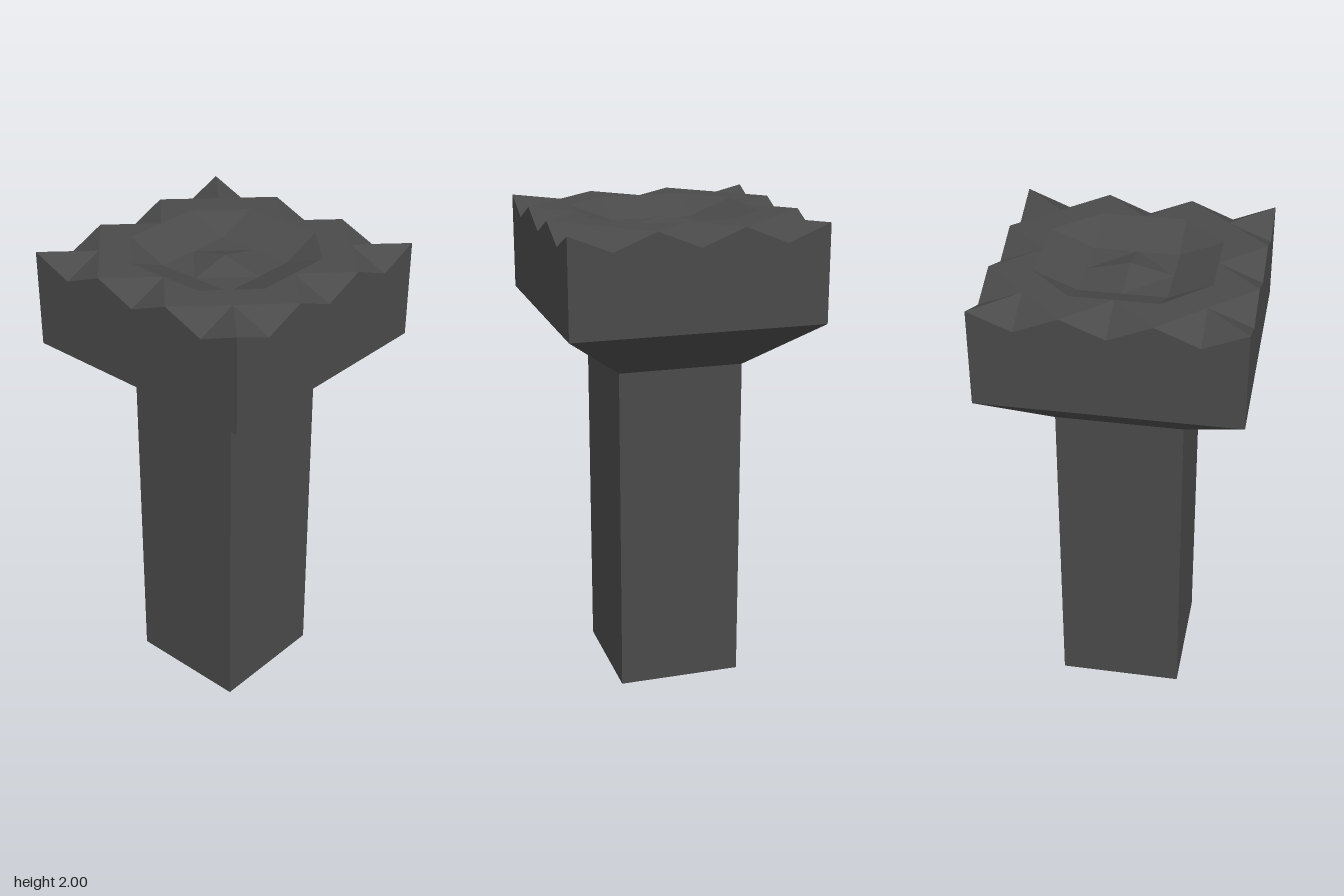
import * as THREE from 'three';

const HALF = 0.52, STEM = 0.26, N = 6;
const HIGH = 2, LOW = 1.93, RIM = 1.6, NECK = 1.39;

// Height of a grid point on the jagged top, counted in rings from the edge
function topHeight(i, j) {
  const ring = Math.min(i, j, N - i, N - j);
  if (ring === 0) return (i + j) % 2 ? LOW : HIGH;
  return [HIGH, HIGH, LOW, 1.97][ring];
}

// Jagged top and the four walls below it
function headGeometry() {
  const pos = [];
  const at = k => -HALF + (2 * HALF * k) / N;
  const p = (i, j) => [at(i), topHeight(i, j), at(j)];
  const tri = (a, b, c) => pos.push(...a, ...b, ...c);

  for (let i = 0; i < N; i++) for (let j = 0; j < N; j++) {
    const a = p(i, j), b = p(i, j + 1), c = p(i + 1, j + 1), d = p(i + 1, j);
    const outer = Math.min(i, j, N - 1 - i, N - 1 - j) === 0;
    // Ridges join even points in the outer ring, odd points further in
    if (((i + j) % 2 === 0) === outer) { tri(a, b, c); tri(a, c, d); }
    else { tri(a, b, d); tri(b, c, d); }
  }

  // One wall strip, turned to each side
  for (let s = 0; s < 4; s++) {
    const turn = ([x, y, z]) => {
      for (let k = 0; k < s; k++) [x, z] = [z, -x];
      return [x, y, z];
    };
    for (let i = 0; i < N; i++) {
      const t0 = p(i, N), t1 = p(i + 1, N);
      const b0 = [t0[0], RIM, HALF], b1 = [t1[0], RIM, HALF];
      tri(turn(b0), turn(b1), turn(t1));
      tri(turn(b0), turn(t1), turn(t0));
    }
  }
  const g = new THREE.BufferGeometry();
  g.setAttribute('position', new THREE.Float32BufferAttribute(pos, 3));
  g.computeVertexNormals();
  return g;
}

export function createModel() {
  const group = new THREE.Group();
  group.name = 'squarePillar';
  const stone = new THREE.MeshStandardMaterial({ color: 0x4a4a4b, flatShading: true });
  stone.name = 'dark stone';

  const add = (name, geometry, y = 0) => {
    const mesh = new THREE.Mesh(geometry, stone);
    mesh.name = name;
    mesh.position.y = y;
    group.add(mesh);
  };

  // Square shaft
  add('shaft', new THREE.BoxGeometry(STEM * 2, NECK, STEM * 2), NECK / 2);

  // Flared neck between shaft and head
  const flare = new THREE.CylinderGeometry(
    HALF * Math.SQRT2, STEM * Math.SQRT2, RIM - NECK, 4, 1, true);
  flare.rotateY(Math.PI / 4);
  add('flare', flare, (RIM + NECK) / 2);

  // Wide head with a rough, broken top
  add('head', headGeometry());
  return group;
}
